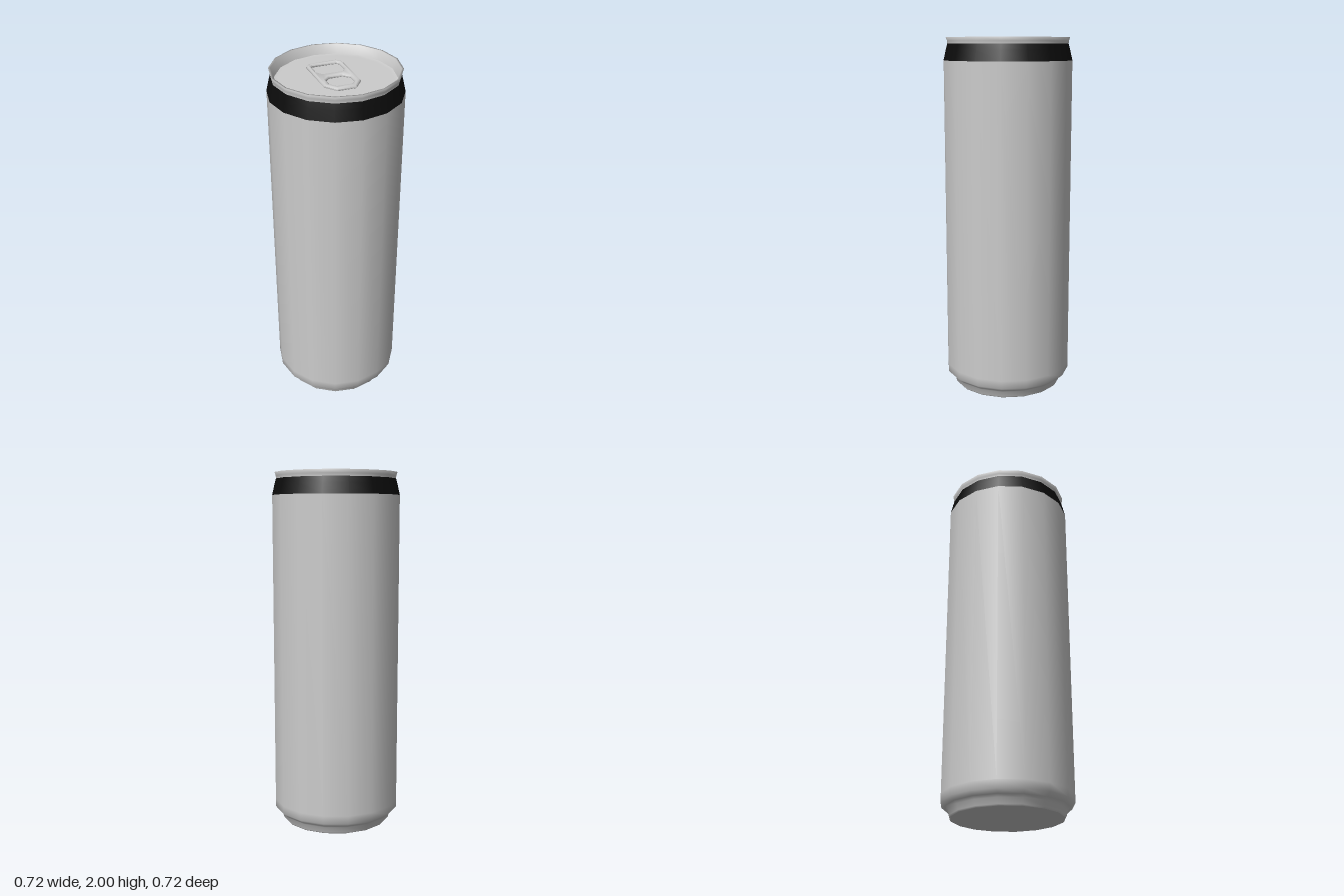
import * as THREE from 'three';
import { toCreasedNormals } from 'three/addons/utils/BufferGeometryUtils.js';

const SIDES = 16;

function lathe(name, profile, material) {
  const points = profile.map(([r, y]) => new THREE.Vector2(r, y));
  const mesh = new THREE.Mesh(new THREE.LatheGeometry(points, SIDES), material);
  mesh.name = name;
  return mesh;
}

// Closed outline symmetric about x = 0, from the points of one half
function mirrored(half, PathType) {
  const other = half.map(([x, y]) => [-x, y]).reverse();
  return new PathType([...half, ...other].map(([x, y]) => new THREE.Vector2(x, y)));
}

export function createModel() {
  const aluminium = new THREE.MeshStandardMaterial({ color: 0xcccccc });
  aluminium.name = 'aluminium';
  const black = new THREE.MeshStandardMaterial({ color: 0x0c0c0c });
  black.name = 'black';

  const can = new THREE.Group();
  can.name = 'drinkCan';

  // Base, stepped foot and straight wall
  can.add(lathe('base', [[0, 0], [0.305, 0]], aluminium));
  can.add(lathe('body', [
    [0.305, 0], [0.312, 0.008], [0.32, 0.04], [0.335, 0.054],
    [0.36, 0.075], [0.36, 0.12], [0.36, 1.875],
  ], aluminium));

  // Tapered neck band
  can.add(lathe('neckBand', [[0.36, 1.875], [0.346, 1.935], [0.338, 1.965]], black));

  // Flared rim, its inner wall, and the recessed lid
  can.add(lathe('rim', [
    [0.338, 1.965], [0.339, 1.98], [0.346, 2], [0.335, 2], [0.318, 1.95],
  ], aluminium));
  can.add(lathe('lid', [[0.318, 1.95], [0.3, 1.947], [0, 1.947]], aluminium));

  // Pull tab with two openings; shape y points to the back
  const tab = mirrored([
    [0.05, -0.155], [0.101, -0.09], [0.101, 0.167], [0.075, 0.195],
  ], THREE.Shape);
  tab.holes.push(
    mirrored([[0.055, 0.043], [0.078, 0.077], [0.078, 0.152], [0.066, 0.166]], THREE.Path),
    mirrored([[0.04, -0.118], [0.067, -0.087], [0.067, -0.03], [0.037, 0]], THREE.Path),
  );
  const tabGeometry = new THREE.ExtrudeGeometry(tab, {
    depth: 0.006, bevelEnabled: true, bevelSegments: 1,
    bevelSize: 0.008, bevelOffset: -0.008, bevelThickness: 0.007,
  });
  tabGeometry.rotateX(-Math.PI / 2);
  const tabMesh = new THREE.Mesh(toCreasedNormals(tabGeometry, 0.9), aluminium);
  tabMesh.name = 'pullTab';
  tabMesh.position.y = 1.95;
  can.add(tabMesh);

  return can;
}
